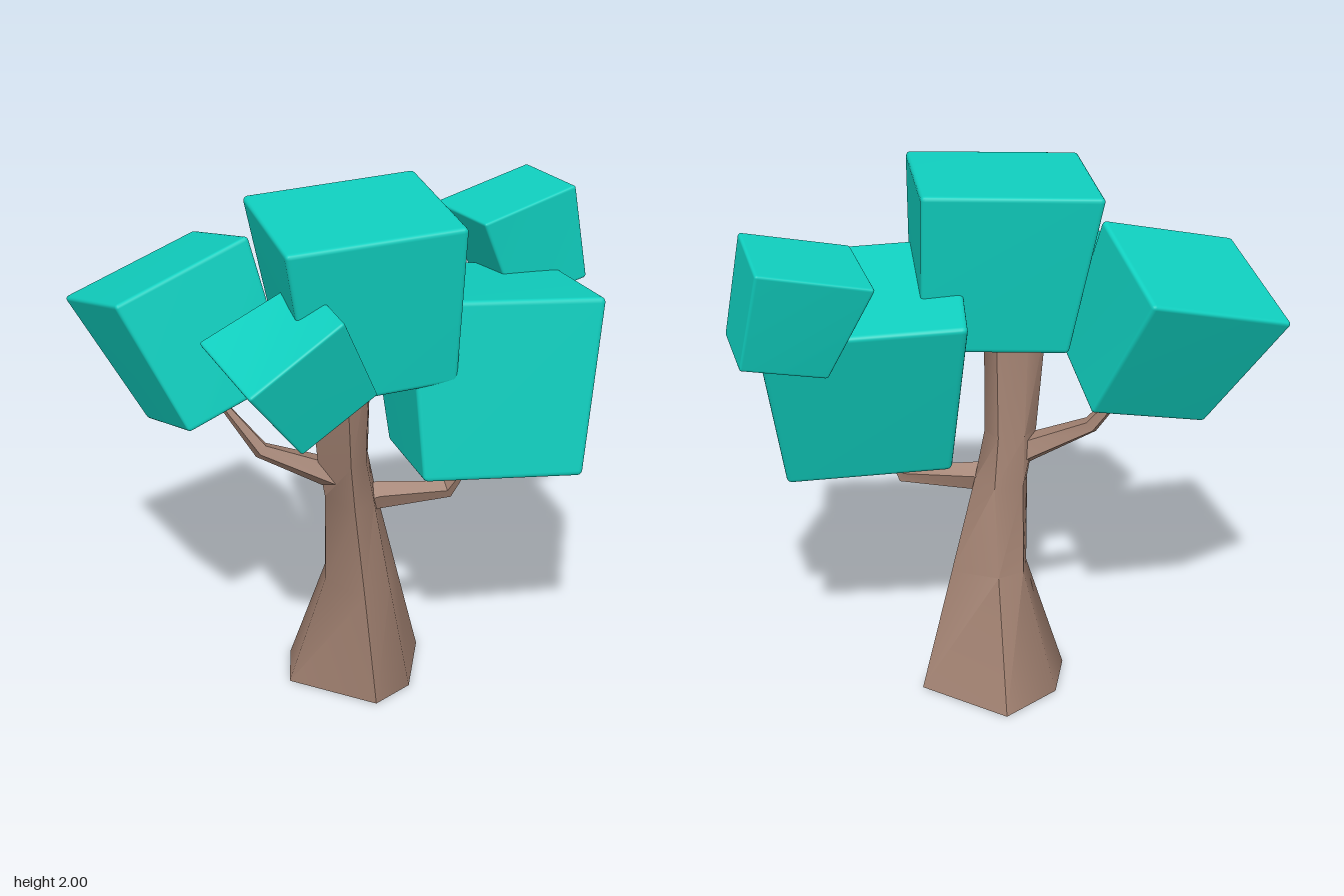
import * as THREE from 'three';
import { RoundedBoxGeometry } from 'three/addons/geometries/RoundedBoxGeometry.js';
import { mergeVertices, toCreasedNormals } from 'three/addons/utils/BufferGeometryUtils.js';

const V = (x, y, z) => new THREE.Vector3(x, y, z);

// Skin a stack of equal-length rings (counter-clockwise seen from the end) and cap both ends
function loft(rings, crease) {
  const n = rings[0].length, last = (rings.length - 1) * n, index = [];
  for (let r = 0; r < rings.length - 1; r++) {
    for (let i = 0; i < n; i++) {
      const a = r * n + i, b = r * n + (i + 1) % n;
      index.push(a, b, b + n, a, b + n, a + n);
    }
  }
  for (let i = 1; i < n - 1; i++) {
    index.push(0, i + 1, i, last, last + i, last + i + 1);
  }
  const geo = new THREE.BufferGeometry().setFromPoints(rings.flat());
  geo.setIndex(index);
  return toCreasedNormals(geo, crease);
}

// Tapered bent limb through a few centre points, each [x, y, z, radius]
function limb(points) {
  const centres = points.map(([x, y, z]) => V(x, y, z));
  const rings = points.map(([, , , radius], i) => {
    const dir = centres[Math.min(i + 1, points.length - 1)].clone()
      .sub(centres[Math.max(i - 1, 0)]).normalize();
    const side = V(0, 0, 1).cross(dir).normalize();
    const up = dir.clone().cross(side);
    return Array.from({ length: 5 }, (_, k) => {
      const t = (k / 5) * Math.PI * 2;
      return centres[i].clone()
        .addScaledVector(side, Math.cos(t) * radius)
        .addScaledVector(up, Math.sin(t) * radius);
    });
  });
  return loft(rings, 0.8);
}

// Soft-edged block stretched between a top and a bottom quad (front left, front right, back right, back left on screen)
function leafBlock(top, bottom) {
  let geo = new RoundedBoxGeometry(1, 1, 1, 2, 0.03);
  geo.deleteAttribute('normal');
  geo.deleteAttribute('uv');
  geo = mergeVertices(geo, 1e-5);
  const pos = geo.attributes.position;
  const blend = (quad, u, w) => {
    const [fl, fr, br, bl] = quad.map((p) => V(...p));
    return bl.lerp(br, u).lerp(fl.lerp(fr, u), w);
  };
  for (let i = 0; i < pos.count; i++) {
    const u = pos.getX(i) + 0.5, v = pos.getY(i) + 0.5, w = pos.getZ(i) + 0.5;
    const p = blend(bottom, u, w).lerp(blend(top, u, w), v);
    pos.setXYZ(i, p.x, p.y, p.z);
  }
  geo.computeVertexNormals();
  return geo;
}

export function createModel() {
  const model = new THREE.Group();
  model.name = 'blockTree';
  const bark = new THREE.MeshStandardMaterial({ color: 0xa08070 });
  bark.name = 'bark';
  const leaf = new THREE.MeshStandardMaterial({ color: 0x10d0c0 });
  leaf.name = 'leaf';

  const add = (name, geo, material) => {
    const mesh = new THREE.Mesh(geo, material);
    mesh.name = name;
    model.add(mesh);
  };

  // Trunk: six-sided sections, flared at the foot, leaning at the top
  const sections = [
    [0, [[0.02, 0.22], [0.18, 0.135], [0.305, -0.15], [0.01, -0.395], [-0.2, -0.24], [-0.26, -0.03]]],
    [0.46, [[-0.015, 0.18], [0.1, 0.13], [0.18, -0.07], [0.01, -0.15], [-0.09, -0.11], [-0.115, -0.01]]],
    [0.82, [[-0.045, 0.15], [0.045, 0.1], [0.085, -0.02], [0.02, -0.11], [-0.09, -0.09], [-0.118, 0]]],
    [1.0, [[-0.06, 0.15], [0.01, 0.11], [0.04, 0.03], [0, -0.06], [-0.1, -0.05], [-0.155, 0.03]]],
    [1.42, [[-0.09, 0.2], [0, 0.17], [0.035, 0.08], [0, -0.01], [-0.12, 0], [-0.2, 0.08]]],
  ];
  add('trunk', loft(sections.map(([y, ring]) => ring.map(([x, z]) => V(x, y, z))), 0.8), bark);

  // Branches
  add('leftBranch', limb([
    [-0.02, 0.8, 0.03, 0.06], [0.08, 0.815, 0.03, 0.055],
    [0.345, 0.82, 0.07, 0.035], [0.425, 0.96, 0.12, 0.008],
  ]), bark);
  add('rightBranch', limb([
    [-0.05, 0.9, 0.01, 0.065], [-0.13, 0.935, 0, 0.055],
    [-0.35, 1.03, -0.04, 0.033], [-0.485, 1.22, -0.1, 0.015],
  ]), bark);

  // Foliage blocks
  const blocks = {
    crownFoliage: [
      [[-0.36, 1.955, 0.395], [0.287, 1.985, 0.395], [0.287, 2.0, -0.21], [-0.36, 1.965, -0.21]],
      [[-0.25, 1.345, 0.31], [0.287, 1.375, 0.31], [0.287, 1.39, -0.12], [-0.25, 1.355, -0.12]],
    ],
    largeLeftFoliage: [
      [[0.115, 1.685, 0.27], [0.84, 1.64, 0.325], [0.87, 1.535, -0.335], [0.145, 1.58, -0.39]],
      [[0.156, 1.01, 0.345], [0.755, 0.97, 0.39], [0.785, 0.893, -0.115], [0.185, 0.933, -0.16]],
    ],
    largeRightFoliage: [
      [[-0.88, 1.71, 0.065], [-0.365, 1.855, -0.095], [-0.455, 1.71, -0.59], [-0.985, 1.56, -0.435]],
      [[-0.65, 1.225, 0.13], [-0.245, 1.335, 0], [-0.29, 1.23, -0.37], [-0.73, 1.115, -0.245]],
    ],
    smallRightFoliage: [
      [[-0.54, 1.54, 0.58], [-0.193, 1.75, 0.522], [-0.235, 1.775, 0.15], [-0.625, 1.605, 0.21]],
      [[-0.325, 1.245, 0.455], [-0.04, 1.415, 0.41], [-0.1, 1.44, 0.12], [-0.385, 1.28, 0.17]],
    ],
    smallLeftFoliage: [
      [[0.525, 1.8, -0.095], [0.91, 1.89, -0.165], [0.86, 1.863, -0.535], [0.462, 1.77, -0.47]],
      [[0.67, 1.445, -0.13], [0.975, 1.515, -0.17], [0.93, 1.49, -0.445], [0.63, 1.42, -0.385]],
    ],
  };
  for (const [name, [top, bottom]] of Object.entries(blocks)) {
    add(name, leafBlock(top, bottom), leaf);
  }
  return model;
}
